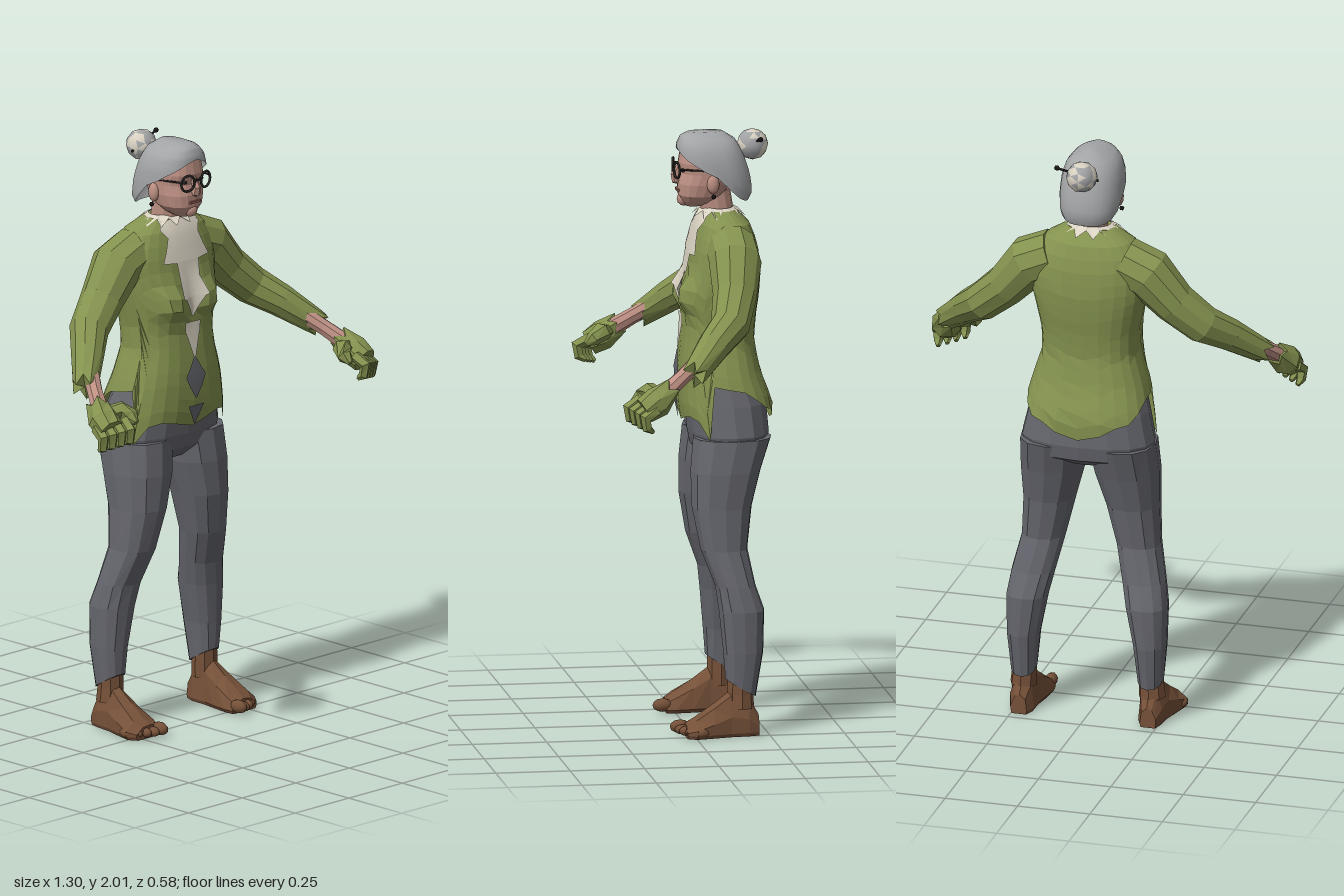
import * as THREE from 'three';

const mat = (name, color, open) => {
  const m = new THREE.MeshStandardMaterial({ color });
  m.name = name;
  if (open) m.side = THREE.DoubleSide;
  return m;
};
const V = (x, y, z) => new THREE.Vector3(x, y, z);
const sp = (v, e) => Math.sign(v) * Math.pow(Math.abs(v), e);

// Joins rings of equal point count; faces are turned outwards by signed volume
function loft(rings, { caps = [true, true], smooth = false } = {}) {
  const n = rings[0].length, pos = [], idx = [], mid = V(0, 0, 0);
  rings.flat().forEach(p => { pos.push(p.x, p.y, p.z); mid.add(p); });
  mid.divideScalar(rings.length * n);
  for (let i = 0; i < rings.length - 1; i++) for (let j = 0; j < n; j++) {
    const a = i * n + j, b = i * n + (j + 1) % n;
    idx.push(a, b, b + n, a, b + n, a + n);
  }
  [0, rings.length - 1].forEach((r, k) => {
    if (!caps[k]) return;
    const c = rings[r].reduce((s, p) => s.add(p), V(0, 0, 0)).divideScalar(n);
    pos.push(c.x, c.y, c.z);
    for (let j = 0; j < n; j++) {
      const a = r * n + j, b = r * n + (j + 1) % n, m = pos.length / 3 - 1;
      k ? idx.push(a, b, m) : idx.push(b, a, m);
    }
  });
  const at = i => V(pos[3 * i], pos[3 * i + 1], pos[3 * i + 2]).sub(mid);
  let vol = 0;
  for (let i = 0; i < idx.length; i += 3) vol += at(idx[i]).dot(at(idx[i + 1]).cross(at(idx[i + 2])));
  if (vol < 0) idx.reverse();
  let g = new THREE.BufferGeometry();
  g.setAttribute('position', new THREE.Float32BufferAttribute(pos, 3));
  g.setIndex(idx);
  if (!smooth) g = g.toNonIndexed();
  g.computeVertexNormals();
  return g;
}

// Tapered limb along [x, y, z, radius] points; jag makes a torn start or end
function limb(points, s = 1, sides = 8, jagStart = 0, jagEnd = 0) {
  const P = points.map(p => V(p[0] * s, p[1], p[2])), last = P.length - 1;
  return loft(P.map((c, i) => {
    const t = P[Math.min(i + 1, last)].clone().sub(P[Math.max(i - 1, 0)]).normalize();
    const u = V(0, 0, 1).addScaledVector(t, -t.z);
    if (u.length() < 0.1) u.set(1, 0, 0);
    u.normalize();
    const w = t.clone().cross(u), jag = i === 0 ? -jagStart : i === last ? jagEnd : 0;
    return Array.from({ length: sides }, (_, j) => {
      const a = j / sides * Math.PI * 2, r = points[i][3];
      return c.clone().addScaledVector(u, Math.cos(a) * r).addScaledVector(w, Math.sin(a) * r)
        .addScaledVector(t, j % 2 ? jag : -jag * 0.3);
    });
  }));
}

// Profile rows are [y, halfWidth, zFront, zBack], from the top down
function section(rows, y) {
  let i = 0;
  while (i < rows.length - 2 && y < rows[i + 1][0]) i++;
  const a = rows[i], b = rows[i + 1], t = THREE.MathUtils.clamp((a[0] - y) / (a[0] - b[0]), 0, 1);
  return [1, 2, 3].map(k => a[k] + (b[k] - a[k]) * t);
}
function ringAt(rows, y, ang, e) {
  const [rx, zf, zb] = section(rows, y);
  return V(rx * sp(Math.sin(ang), e), y, (zf + zb) / 2 + (zf - zb) / 2 * sp(Math.cos(ang), e));
}
// Garment or hair shell with a hem height for every 15 degrees, front to back
function shell(rows, hem, steps, e, bump, smooth) {
  const rings = [];
  for (let i = 0; i <= steps; i++) rings.push(Array.from({ length: 24 }, (_, j) => {
    const h = hem[j <= 12 ? j : 24 - j], p = ringAt(rows, rows[0][0] + (h - rows[0][0]) * i / steps, j * Math.PI / 12, e);
    if (bump && p.z > -0.13) p.z += bump(p.x, p.y);
    return p;
  }));
  return loft(rings, { caps: [true, false], smooth });
}
const stack = (rows, e, n = 16) => loft(rows.map(r =>
  Array.from({ length: n }, (_, j) => ringAt(rows, r[0], j / n * Math.PI * 2, e))));

export function createModel() {
  const green = mat('leaf green', 0x84924f, true), grey = mat('trouser grey', 0x66676e, true),
    hairGrey = mat('hair grey', 0xa3a4a6, true), cream = mat('cream', 0xdad3c3, true),
    skin = mat('skin', 0xbf9184), brown = mat('brown', 0x765139), dark = mat('dark', 0x262422),
    lip = mat('lip', 0x99625a);
  const model = new THREE.Group();
  const add = (name, geo, m, x = 0, y = 0, z = 0) => {
    const mesh = new THREE.Mesh(geo, m);
    mesh.name = name;
    mesh.position.set(x, y, z);
    model.add(mesh);
    return mesh;
  };

  // Jacket with a pointed hem
  const torso = [[1.74, .085, -.07, -.17], [1.72, .13, -.055, -.2], [1.68, .175, -.04, -.225], [1.6, .2, -.02, -.245],
    [1.52, .195, -.01, -.25], [1.45, .18, 0, -.245], [1.38, .165, 0, -.235], [1.3, .163, .01, -.23],
    [1.2, .195, .02, -.25], [1.1, .22, .02, -.29], [1, .235, .005, -.285]];
  const bust = (x, y) => .045 * Math.exp(-(((Math.abs(x) - .085) / .055) ** 2) - ((y - 1.46) / .055) ** 2);
  add('jacket', shell(torso, [1.03, 1.05, 1.06, 1.05, .99, 1.17, 1.16, 1.15, 1.12, 1.09, 1.08, 1.05, 1.03], 16, .8, bust), green);

  // Front panels laid over the jacket, as [y, halfWidth] rows
  const panel = (name, rows, m) => {
    const pos = [], idx = [], cols = 6;
    rows.forEach(([y, w]) => {
      for (let c = 0; c <= cols; c++) {
        const x = w * (c / cols * 2 - 1), [rx, zf, zb] = section(torso, y);
        const q = Math.pow(Math.min(Math.abs(x) / rx, 1), 1.25);
        pos.push(x, y, (zf + zb) / 2 + (zf - zb) / 2 * Math.pow(1 - q * q, .4) + bust(x, y) + .009);
      }
    });
    for (let r = 0; r < rows.length - 1; r++) for (let c = 0; c < cols; c++) {
      const a = r * (cols + 1) + c, b = a + cols + 1;
      idx.push(a, b, b + 1, a, b + 1, a + 1);
    }
    const g = new THREE.BufferGeometry();
    g.setAttribute('position', new THREE.Float32BufferAttribute(pos, 3));
    g.setIndex(idx);
    g.computeVertexNormals();
    add(name, g, m);
  };
  panel('shirtFront', [[1.735, .07], [1.71, .09], [1.68, .07], [1.64, .085], [1.6, .105], [1.595, .05],
    [1.54, .045], [1.48, .06], [1.475, .045], [1.44, .02], [1.41, .004]], cream);
  panel('shirtGap', [[1.39, .035], [1.36, .034], [1.32, .02], [1.265, .003]], cream);
  panel('upperBuckle', [[1.27, .004], [1.235, .025], [1.205, .045], [1.17, .028], [1.13, .003]], grey);
  panel('lowerBuckle', [[1.105, .036], [1.075, .02], [1.04, .003]], grey);

  // Ruffled collar and neck
  add('collar', loft([0, 1].map(k => Array.from({ length: 24 }, (_, j) => {
    const a = j / 24 * Math.PI * 2, tip = j % 2, r = k ? (tip ? .118 : .088) : .066;
    return V(Math.sin(a) * r, k ? (tip ? 1.718 : 1.74) : 1.748, -.115 + Math.cos(a) * r * .75);
  })), { caps: [false, false] }), cream);
  add('neck', limb([[0, 1.66, -.12, .065], [0, 1.74, -.11, .055], [0, 1.8, -.1, .055]], 1, 12), skin);

  // Head
  add('head', stack([[1.985, .05, -.03, -.13], [1.95, .08, .01, -.17], [1.9, .088, .019, -.18], [1.865, .086, .013, -.18],
    [1.83, .083, .022, -.16], [1.79, .072, .02, -.13], [1.768, .052, .008, -.1], [1.752, .03, -.004, -.06]], .85, 20), skin);
  add('nose', limb([[0, 1.89, .012, .009], [0, 1.855, .03, .015], [0, 1.838, .026, .016], [0, 1.832, .014, .01]], 1, 6), skin);
  add('mouth', new THREE.BoxGeometry(.046, .008, .008), lip, 0, 1.806, .022);
  add('chin', new THREE.IcosahedronGeometry(.024, 1), skin, 0, 1.774, 0);

  // Hair shell, bun and hairpin
  add('hair', shell([[2, .03, -.01, -.13], [1.987, .062, .012, -.16], [1.96, .088, .024, -.18], [1.92, .102, .028, -.2],
    [1.86, .107, .025, -.22], [1.8, .102, 0, -.228], [1.76, .085, -.03, -.21]],
  [1.95, 1.943, 1.93, 1.915, 1.9, 1.88, 1.86, 1.81, 1.785, 1.775, 1.77, 1.77, 1.77], 9, .85, null, true), hairGrey);
  const bun = new THREE.IcosahedronGeometry(.053, 1);
  for (let f = 0; f < 80; f++) bun.addGroup(f * 3, 3, (f * 37 + 11) % 9 < 4 ? 1 : 0);
  add('bun', bun, [hairGrey, cream], 0, 1.952, -.23);
  add('hairpin', limb([[-.055, 1.94, -.22, .004], [.08, 1.98, -.245, .004]], 1, 6), dark);
  add('hairpinBead', new THREE.IcosahedronGeometry(.01, 0), dark, .082, 1.981, -.245);
  add('glassesBridge', new THREE.BoxGeometry(.026, .006, .006), dark, 0, 1.884, .034);

  // Trouser seat
  add('trouserSeat', stack([[1.22, .17, 0, -.22], [1.1, .205, 0, -.27], [1, .228, -.01, -.278],
    [.95, .215, -.02, -.268], [.91, .1, -.06, -.2]], .85), grey);

  for (const s of [1, -1]) {
    const side = s > 0 ? 'left' : 'right';
    // Face details
    add(side + 'Eye', new THREE.SphereGeometry(.011, 8, 6), dark, s * .038, 1.877, .009).scale.set(1.2, .6, .7);
    add(side + 'GlassesRim', new THREE.TorusGeometry(.027, .0045, 5, 14), dark, s * .041, 1.878, .03).rotation.y = s * .2;
    add(side + 'GlassesArm', limb([[.067, 1.885, .025, .0035], [.093, 1.88, -.1, .0035]], s, 5), dark);
    add(side + 'Ear', new THREE.IcosahedronGeometry(.03, 1), skin, s * .087, 1.835, -.085).scale.set(.5, 1.1, .7);
    add(side + 'Earring', new THREE.IcosahedronGeometry(.009, 0), dark, s * .096, 1.795, -.085);

    // Sleeve with torn cuff, forearm
    add(side + 'Sleeve', limb([[.12, 1.63, -.14, .085], [.205, 1.595, -.14, .088], [.29, 1.495, -.125, .073],
      [.38, 1.415, -.095, .066], [.45, 1.362, -.03, .056], [.535, 1.29, .045, .042]], s, 10, 0, .03), green);
    add(side + 'Forearm', limb([[.46, 1.355, -.02, .03], [.535, 1.275, .09, .027], [.575, 1.225, .16, .03]], s), skin);

    // Glove: palm, curled fingers, thumb
    add(side + 'Palm', limb([[.568, 1.238, .14, .036], [.585, 1.205, .18, .052], [.59, 1.178, .225, .045]], s, 8, .022), green);
    for (let i = 0; i < 4; i++) {
      const t = i / 3, x = .54 + t * .08, y = 1.205 - t * .02, z = .23 - t * .045;
      add(side + 'Finger', limb([[x, y, z, .02], [x + .008, y - .025, z + .042, .021],
        [x + .006, y - .062, z + .035, .017], [x, y - .075, z + .015, .008]], s, 5), green);
    }
    add(side + 'Thumb', limb([[.56, 1.22, .17, .025], [.515, 1.228, .195, .032], [.498, 1.21, .225, .026], [.5, 1.192, .25, .01]], s, 6, .015), green);

    // Trouser leg rows: [y, xInner, xOuter, zFront, zBack]
    const leg = [[.99, .005, .23, -.012, -.275], [.88, .02, .236, -.002, -.238], [.76, .055, .232, -.004, -.205],
      [.62, .09, .238, -.03, -.187], [.5, .117, .265, -.075, -.21], [.42, .135, .277, -.085, -.237],
      [.28, .163, .273, -.098, -.232], [.16, .175, .262, -.105, -.207]];
    add(side + 'TrouserLeg', loft(leg.map(([y, a, b, f, k], i) => Array.from({ length: 12 }, (_, j) => {
      const t = j / 12 * Math.PI * 2, c = sp(Math.cos(t), .85);
      return V(s * ((a + b) / 2 + (b - a) / 2 * sp(Math.sin(t), .85)), y + (i === 7 ? c * .03 : 0), (f + k) / 2 + (f - k) / 2 * c);
    }))), grey);

    // Foot rows: [z, xInner, xOuter, top]
    const foot = [[-.215, .195, .25, .07], [-.18, .18, .262, .13], [-.12, .178, .268, .15], [-.06, .167, .285, .105],
      [0, .16, .3, .065], [.03, .165, .28, .045]];
    add(side + 'Ankle', limb([[.222, .09, -.155, .046], [.219, .14, -.155, .043], [.219, .2, -.155, .042]], s), brown);
    add(side + 'Foot', loft(foot.map(([z, a, b, h]) => [[0, .012], [.06, 0], [.94, 0], [1, .012], [1, h * .45], [.75, h * .9], [.45, h], [.1, h * .75]]
      .map(([u, y]) => V(s * (a + (b - a) * u), y, z)))), brown);
    for (let i = 0; i < 5; i++) {
      const r = i ? .017 : .023;
      add(side + 'Toe', new THREE.IcosahedronGeometry(r, 1), brown, s * (.184 + i * .026), r + .004, .042 - i * i * .0035)
        .scale.set(.9, 1, 1.5);
    }
  }
  return model;
}
